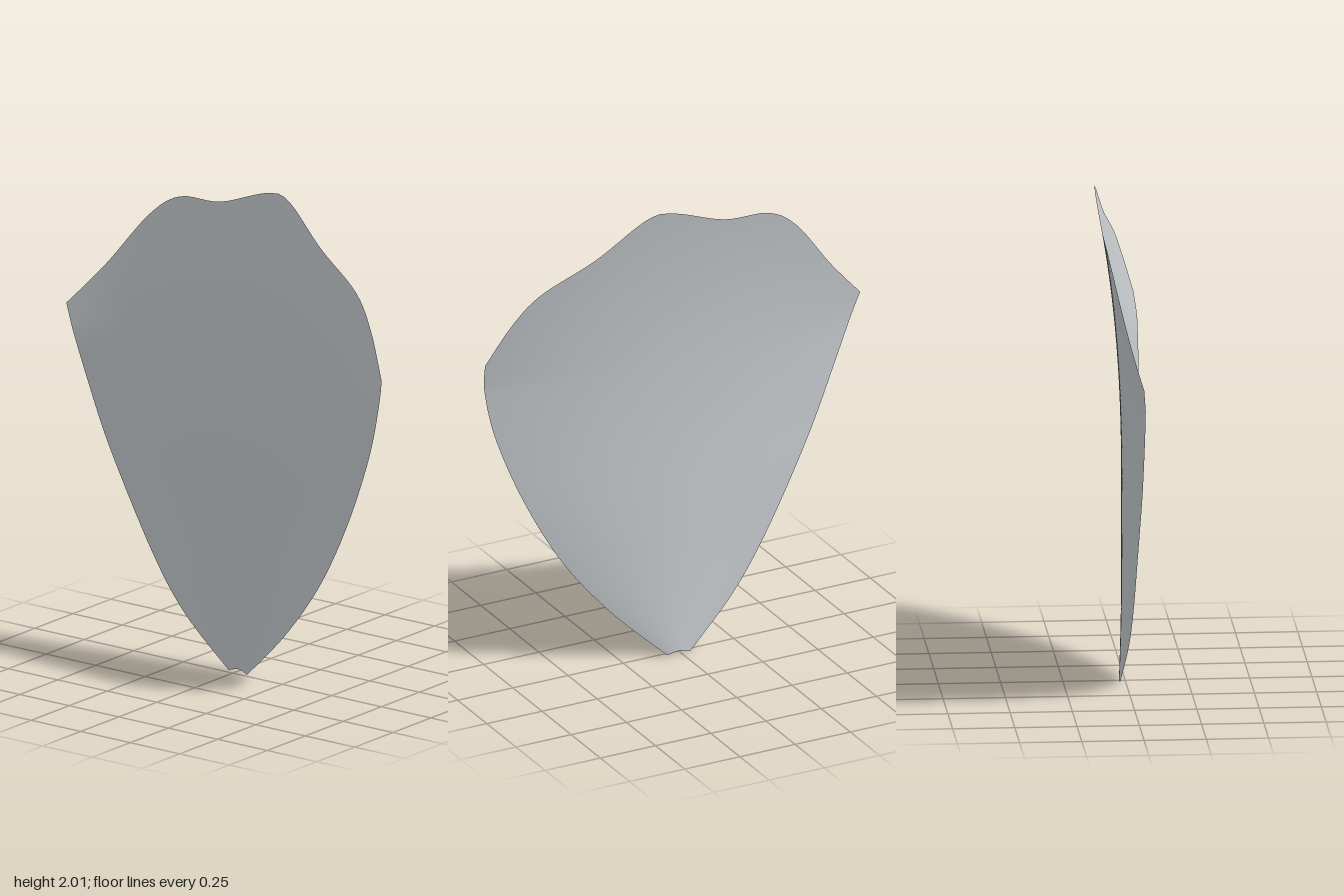
import * as THREE from 'three';

const ACROSS = 64, ALONG = 48;

// Evenly spaced points along a smooth curve through a few outline points
const edge = (pts, n) =>
  new THREE.SplineCurve(pts.map(([x, y]) => new THREE.Vector2(x, y))).getSpacedPoints(n);

// Depth of the cupped sheet: a spine that leans back at the tip, with sides curling forward
function depth(x, y) {
  const spine = -0.015 - 0.01 * Math.max(0, 1 - y / 0.5) ** 2
    - 0.105 * Math.max(0, (y - 0.8) / 1.2) ** 2.3;
  const t = Math.min(y, 1.4) / 1.4;
  const w = 0.06 + 0.77 * (1 - (1 - t) ** 1.9); // half width at this height
  const u = x / w;
  const curl = 1 - 0.8 * Math.max(0, y - 1.3);
  return spine + w * (0.12 * u * u * curl + 0.05 * u);
}

export function createModel() {
  const petalGrey = new THREE.MeshStandardMaterial({ color: 0xc8cdd0, side: THREE.DoubleSide });
  petalGrey.name = 'petalGrey';

  // The four edges of the petal
  const left = edge([[-0.04, 0], [-0.25, 0.21], [-0.41, 0.45], [-0.6, 0.82], [-0.72, 1.11], [-0.83, 1.4]], ALONG);
  const right = edge([[0.06, 0], [0.29, 0.22], [0.49, 0.47], [0.65, 0.76], [0.77, 1.06], [0.82, 1.28], [0.825, 1.4]], ALONG);
  const top = edge([[-0.83, 1.4], [-0.67, 1.58], [-0.49, 1.81], [-0.35, 1.905], [-0.15, 1.92], [0.08, 1.998],
    [0.2, 1.99], [0.4, 1.84], [0.62, 1.71], [0.73, 1.58], [0.825, 1.4]], ACROSS);
  const base = edge([[-0.04, 0], [0.01, 0.012], [0.06, 0]], ACROSS);

  // Blend the edges across a grid, then push each point to its depth
  const geometry = new THREE.PlaneGeometry(1, 1, ACROSS, ALONG);
  const pos = geometry.attributes.position;
  for (let j = 0; j <= ALONG; j++) {
    for (let i = 0; i <= ACROSS; i++) {
      const u = i / ACROSS, v = 1 - j / ALONG, k = ALONG - j;
      const blend = (c) =>
        (1 - v) * base[i][c] + v * top[i][c] + (1 - u) * left[k][c] + u * right[k][c]
        - (1 - v) * ((1 - u) * left[0][c] + u * right[0][c])
        - v * ((1 - u) * left[ALONG][c] + u * right[ALONG][c]);
      const x = blend('x'), y = blend('y');
      pos.setXYZ(j * (ACROSS + 1) + i, x, y, depth(x, y));
    }
  }
  geometry.computeVertexNormals();

  const petal = new THREE.Mesh(geometry, petalGrey);
  petal.name = 'petal';
  const group = new THREE.Group();
  group.name = 'petalModel';
  group.add(petal);
  return group;
}
